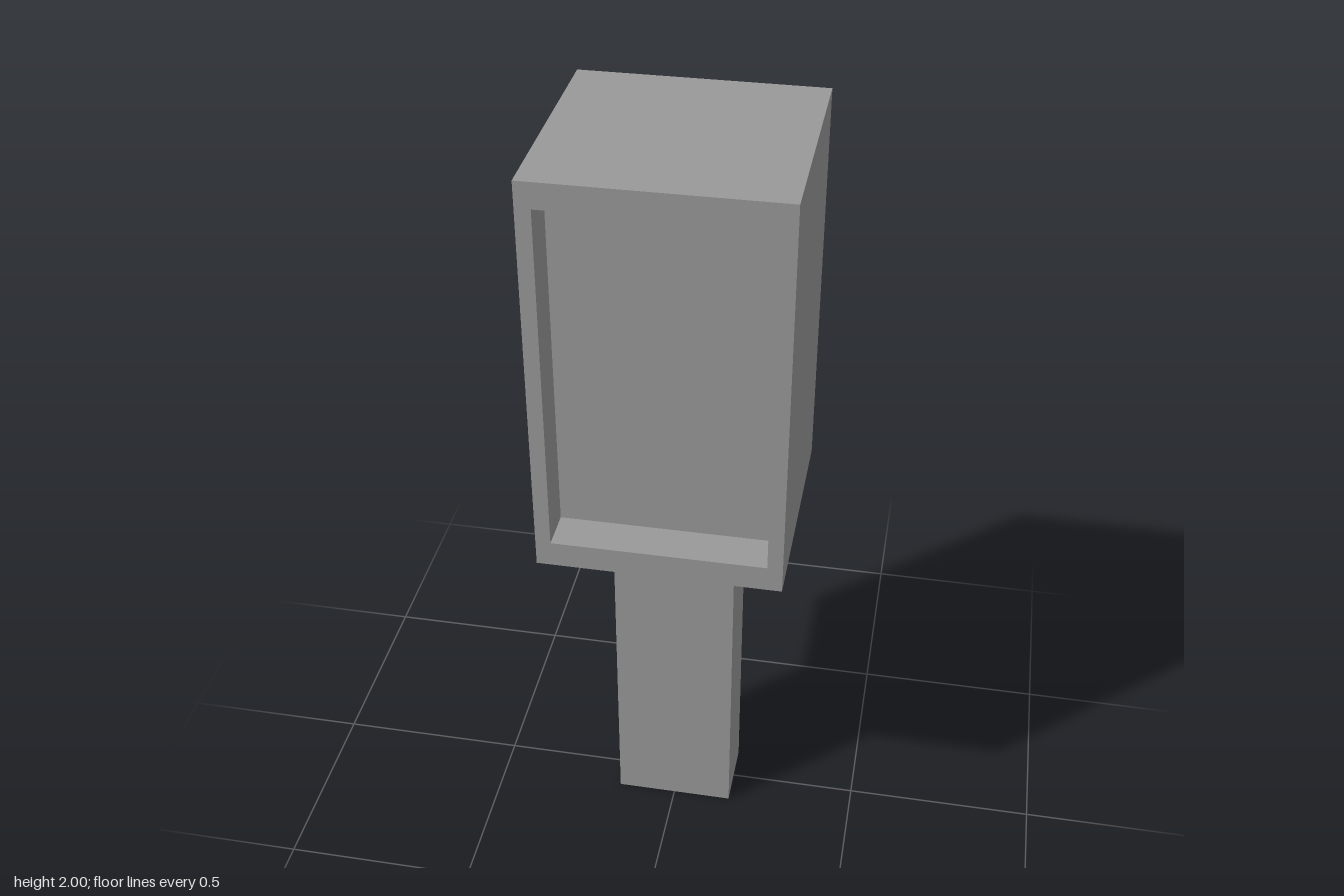
import * as THREE from 'three';

const HEAD_X = 0.305, HEAD_Z = 0.3, RIM_Y = 0.967, TOP_Y = 2;
const POST_X = 0.158, POST_Z = 0.094, POST_TOP = 1.034;
const OPEN_X = 0.267, OPEN_TOP = 1.936, RECESS = 0.106;

// Horizontal rectangle at height y, starting with its front edge
const levelRing = (x, z, y) => [[-x, y, z], [x, y, z], [x, y, -z], [-x, y, -z]];
// Upright rectangle at depth z, counter-clockwise from the front
const uprightRing = (x, bottom, top, z) => [[-x, bottom, z], [x, bottom, z], [x, top, z], [-x, top, z]];

// Quads joining two rings, using only the listed sides
const join = (a, b, sides = [0, 1, 2, 3]) =>
  sides.map((i) => [a[i], a[(i + 1) % 4], b[(i + 1) % 4], b[i]]);

function quadMesh(name, quads, material) {
  const points = quads.flatMap(([a, b, c, d]) => [a, b, c, a, c, d]).flat();
  const geometry = new THREE.BufferGeometry();
  geometry.setAttribute('position', new THREE.Float32BufferAttribute(points, 3));
  geometry.computeVertexNormals();
  const mesh = new THREE.Mesh(geometry, material);
  mesh.name = name;
  return mesh;
}

export function createModel() {
  const group = new THREE.Group();
  group.name = 'boxOnPost';
  const grey = new THREE.MeshStandardMaterial({ color: 0x999999 });
  grey.name = 'grey';

  const foot = levelRing(POST_X, POST_Z, 0);
  const postTop = levelRing(POST_X, POST_Z, POST_TOP);
  const rim = levelRing(HEAD_X, HEAD_Z, RIM_Y);
  const roof = levelRing(HEAD_X, HEAD_Z, TOP_Y);
  const face = uprightRing(HEAD_X, RIM_Y, TOP_Y, HEAD_Z);
  const opening = uprightRing(OPEN_X, POST_TOP, OPEN_TOP, HEAD_Z);
  const panel = uprightRing(OPEN_X, POST_TOP, OPEN_TOP, HEAD_Z - RECESS);

  group.add(
    // Post with its closed foot
    quadMesh('post', [...join(foot, postTop), [...foot].reverse()], grey),
    // Hollow underside sloping up from the rim to the post
    quadMesh('underside', join(postTop, rim), grey),
    // Sides, back and top of the box
    quadMesh('housing', [...join(rim, roof, [1, 2, 3]), roof], grey),
    // Front border, recess walls and sunken panel
    quadMesh('frontFrame', join(face, opening), grey),
    quadMesh('recessWalls', join(opening, panel), grey),
    quadMesh('recessedPanel', [panel], grey),
  );
  return group;
}
